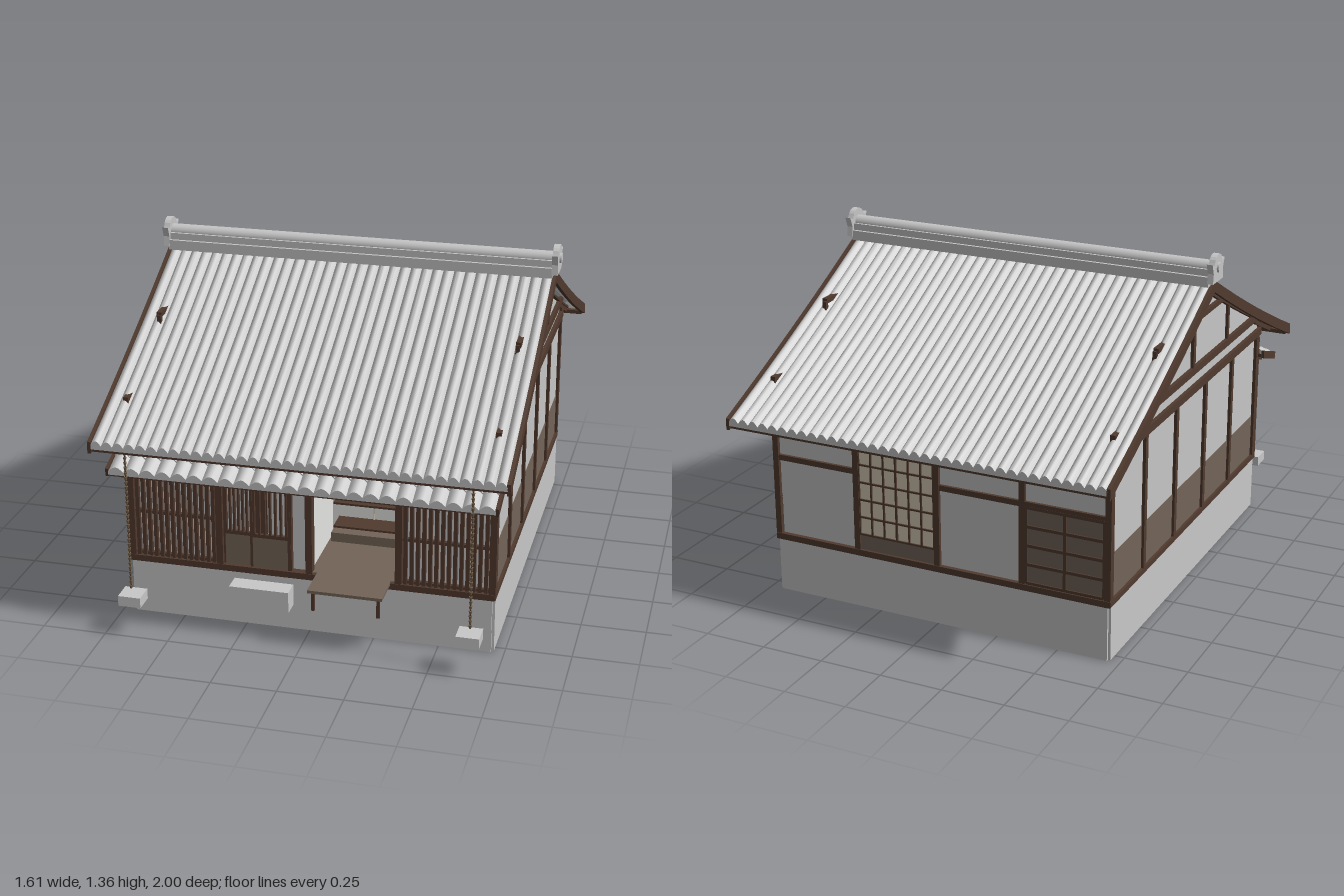
import * as THREE from 'three';
import { toCreasedNormals } from 'three/addons/utils/BufferGeometryUtils.js';

const material = (name, color, side = THREE.FrontSide) => {
  const m = new THREE.MeshStandardMaterial({ color, side });
  m.name = name;
  return m;
};

export function createModel() {
  const root = new THREE.Group();
  root.name = 'farmhouse';
  const tile = material('roof tile grey', 0xc6c6c6, THREE.DoubleSide);
  const stone = material('stone grey', 0xc8c8c8);
  const plaster = material('plaster grey', 0xc6c6c6);
  const white = material('inner wall white', 0xe4e4e2);
  const beam = material('dark timber', 0x503a2e);
  const board = material('weathered board', 0x736458);
  const paper = material('paper cream', 0xd6ccb4);
  const bronze = material('bronze', 0x75624a);

  const add = (name, geometry, mat, parent = root) => {
    const m = new THREE.Mesh(geometry, mat);
    m.name = name;
    parent.add(m);
    return m;
  };
  // Box given by its limits on each axis
  const box = (name, mat, x0, x1, y0, y1, z0, z1, parent = root) => {
    const m = add(name, new THREE.BoxGeometry(x1 - x0, y1 - y0, z1 - z0), mat, parent);
    m.position.set((x0 + x1) / 2, (y0 + y1) / 2, (z0 + z1) / 2);
    return m;
  };
  // Outline of [z, y] points extruded from x0 to x1
  const slab = (name, mat, points, x0, x1, parent = root) => {
    const shape = new THREE.Shape(points.map(([z, y]) => new THREE.Vector2(z, y)));
    const g = new THREE.ExtrudeGeometry(shape, { depth: x1 - x0, bevelEnabled: false });
    g.rotateY(-Math.PI / 2).translate(x1, 0, 0);
    return add(name, g, mat, parent);
  };

  // Slightly sagging roof line and a strip of given thickness hung below it
  const roofY = z => 1.25 - 0.52 * Math.abs(z) + 0.048 * z * z;
  const strip = (z0, z1, top, thick, n = 8) => {
    const upper = [], lower = [];
    for (let i = 0; i <= n; i++) {
      const z = z0 + (z1 - z0) * i / n;
      upper.push([z, roofY(z) - top]);
      lower.unshift([z, roofY(z) - top - thick]);
    }
    return upper.concat(lower);
  };

  // Corrugated tiles across x, following a list of [y, z] points downhill
  const tiles = (name, halfWidth, columns, path, height, parent) => {
    const seg = 6, n = columns * seg, pos = [], index = [];
    path.forEach(([y, z, flat]) => {
      for (let i = 0; i <= n; i++) {
        const bump = flat ? 0 : height * Math.sin(Math.PI * (i % seg) / seg);
        pos.push(-halfWidth + 2 * halfWidth * i / n, y + bump, z);
      }
    });
    for (let j = 0; j < path.length - 1; j++) for (let i = 0; i < n; i++) {
      const a = j * (n + 1) + i, c = a + n + 1;
      index.push(a, c, a + 1, a + 1, c, c + 1);
    }
    const g = new THREE.BufferGeometry();
    g.setAttribute('position', new THREE.Float32BufferAttribute(pos, 3));
    g.setIndex(index);
    return add(name, toCreasedNormals(g, 0.7), tile, parent);
  };

  // Foundation skirt, open below, and floor
  for (const s of [-1, 1]) box('foundationSide', stone, s * 0.7 - 0.01, s * 0.7 + 0.01, 0, 0.22, -0.79, 0.78);
  box('foundationFront', stone, -0.7, 0.7, 0, 0.22, 0.77, 0.79);
  box('foundationBack', stone, -0.7, 0.7, 0, 0.22, -0.8, -0.78);
  box('floor', stone, -0.69, 0.69, 0.215, 0.235, -0.78, 0.77);

  // Side walls and gables
  for (const s of [-1, 1]) {
    const at = (name, mat, x, w, y0, y1, z0, z1) => box(name, mat, s * x - w, s * x + w, y0, y1, z0, z1);
    at('sideWall', plaster, 0.692, 0.008, 0.42, 0.79, -0.79, 0.78);
    at('sideWainscot', board, 0.694, 0.008, 0.235, 0.42, -0.79, 0.78);
    at('sideSill', beam, 0.7, 0.013, 0.22, 0.242, -0.805, 0.795);
    at('sidePlate', beam, 0.7, 0.015, 0.78, 0.812, -0.815, 0.81);
    for (const z of [0.778, 0.465, 0.155, -0.16, -0.475, -0.787]) at('sidePost', beam, 0.7, 0.012, 0.235, 0.79, z - 0.012, z + 0.012);
    const gable = [[-0.8, 0.8], [0.79, 0.8], [0.79, roofY(0.79) - 0.025], [0.4, roofY(0.4) - 0.02], [0, 1.22],
      [-0.4, roofY(0.4) - 0.02], [-0.8, roofY(0.8) - 0.025]];
    slab('gableWall', plaster, gable, s * 0.692 - 0.008, s * 0.692 + 0.008);
    at('gableLowerBeam', beam, 0.705, 0.01, 0.86, 0.89, -0.79, 0.785);
    at('gableUpperBeam', beam, 0.705, 0.01, 1.07, 1.09, -0.395, 0.39);
    at('kingPost', beam, 0.703, 0.01, 0.88, 1.23, -0.012, 0.012);
    for (const z of [-0.395, 0.39]) at('gableStrut', beam, 0.703, 0.008, 0.88, 1.08, z - 0.009, z + 0.009);
  }

  // Main roof: each slope is built facing the front and turned for the back
  [[0.985, 0], [0.998, Math.PI]].forEach(([end, turn], k) => {
    const slope = new THREE.Group();
    slope.name = k ? 'backRoof' : 'frontRoof';
    slope.rotation.y = turn;
    root.add(slope);
    const path = [];
    for (let i = 0; i <= 10; i++) path.push([roofY(end * i / 10) - 0.013, end * i / 10]);
    path.push([roofY(end) - 0.028, end, true]);
    tiles('roofTiles', 0.775, 36, path, 0.019, slope);
    slab('roofDeck', beam, strip(0, end - 0.015, 0.017, 0.01), -0.715, 0.715, slope);
    for (let i = 0; i < 30; i++) {
      const x = -0.7 + 1.4 * i / 29;
      slab('rafter', beam, strip(0.74, end - 0.02, 0.027, 0.02, 2), x - 0.009, x + 0.009, slope);
    }
    for (const s of [-1, 1]) slab('vergeBoard', beam, strip(0, end, 0, 0.045), s * 0.779 - 0.007, s * 0.779 + 0.007, slope);
    box('eaveFascia', beam, -0.775, 0.775, roofY(end) - 0.04, roofY(end) - 0.024, end - 0.03, end - 0.008, slope);
  });

  // Ridge with rounded cap and end ornaments
  box('ridgeBase', tile, -0.775, 0.775, 1.235, 1.275, -0.05, 0.05);
  box('ridgeCourse', tile, -0.775, 0.775, 1.275, 1.302, -0.038, 0.038);
  const cap = add('ridgeCap', new THREE.CylinderGeometry(0.028, 0.028, 1.55, 16), tile);
  cap.rotation.z = Math.PI / 2;
  cap.position.y = 1.302;
  for (const s of [-1, 1]) {
    const outline = [[-0.055, 1.25], [0.055, 1.25], [0.05, 1.29], [0.066, 1.33], [0.045, 1.322]];
    for (let i = 1; i < 10; i++) {
      const a = Math.PI * i / 10;
      outline.push([0.042 * Math.cos(a), 1.318 + 0.04 * Math.sin(a)]);
    }
    outline.push([-0.045, 1.322], [-0.066, 1.33], [-0.05, 1.29]);
    slab('ridgeEnd', tile, outline, s * 0.784 - 0.012, s * 0.784 + 0.012);
    const boss = add('ridgeEndBoss', new THREE.CylinderGeometry(0.02, 0.02, 0.01, 16), tile);
    boss.rotation.z = Math.PI / 2;
    boss.position.set(s * 0.799, 1.305, 0);
  }

  // Small lower roof over the front, two tile courses
  tiles('pentTiles', 0.728, 24, [[0.712, 0.785], [0.685, 0.865], [0.676, 0.865, true],
    [0.68, 0.866], [0.652, 0.94], [0.64, 0.94, true]], 0.02);
  slab('pentDeck', beam, [[0.785, 0.7], [0.935, 0.643], [0.935, 0.633], [0.785, 0.685]], -0.725, 0.725);
  for (const s of [-1, 1]) slab('pentVerge', beam, [[0.785, 0.715], [0.942, 0.664], [0.936, 0.632], [0.785, 0.682]], s * 0.733 - 0.006, s * 0.733 + 0.006);
  for (let i = 0; i < 9; i++) {
    const x = -0.68 + 0.17 * i;
    slab('pentRafter', beam, [[0.785, 0.688], [0.92, 0.64], [0.92, 0.625], [0.785, 0.668]], x - 0.008, x + 0.008);
  }

  // Front wall around the open alcove
  box('frontWallLeftBay', plaster, -0.69, 0.01, 0.235, 0.62, 0.755, 0.768);
  box('frontWallRightBay', plaster, 0.33, 0.69, 0.235, 0.62, 0.755, 0.768);
  box('frontWallTop', plaster, -0.69, 0.69, 0.6, 0.84, 0.755, 0.775);
  box('frontSill', beam, -0.71, 0.71, 0.22, 0.245, 0.755, 0.8);
  box('frontHeader', beam, -0.71, 0.71, 0.6, 0.635, 0.765, 0.8);
  box('frontPlate', beam, -0.71, 0.71, 0.765, 0.8, 0.765, 0.8);
  for (const x of [-0.7, -0.35, 0, 0.345, 0.7]) box('frontPost', beam, x - 0.013, x + 0.013, 0.24, 0.77, 0.76, 0.798);
  box('doorPost', beam, -0.078, -0.068, 0.24, 0.6, 0.765, 0.79);

  // Slatted windows
  const slats = (x0, x1, y0, y1, n, w, z = 0.785) => {
    for (let i = 0; i < n; i++) {
      const x = x0 + (x1 - x0) * (i + 0.5) / n;
      box('slat', beam, x - w / 2, x + w / 2, y0, y1, z - 0.008, z + 0.008);
    }
  };
  for (const [x0, x1] of [[-0.687, -0.363], [0.358, 0.687]]) {
    slats(x0, x1, 0.24, 0.6, 14, 0.014);
    for (const y of [0.25, 0.425, 0.59]) box('slatRail', beam, x0, x1, y - 0.006, y + 0.006, 0.768, 0.784);
  }

  // Sliding entrance doors
  for (const [x0, x1, z] of [[-0.335, -0.22, 0.777], [-0.225, -0.078, 0.785]]) {
    box('doorPanel', board, x0, x1, 0.245, 0.375, z - 0.006, z + 0.002);
    box('doorMidRail', beam, x0, x1, 0.37, 0.384, z - 0.008, z + 0.006);
    box('doorTopRail', beam, x0, x1, 0.585, 0.602, z - 0.008, z + 0.006);
    for (const x of [x0, x1]) box('doorStile', beam, x - 0.005, x + 0.005, 0.245, 0.6, z - 0.008, z + 0.006);
    slats(x0, x1, 0.38, 0.59, 7, 0.008, z);
  }
  box('doorOverlap', beam, -0.225, -0.165, 0.38, 0.59, 0.77, 0.779);

  // Alcove room with shelves
  box('alcoveBack', white, 0, 0.345, 0.235, 0.62, 0.44, 0.45);
  for (const x of [0.0, 0.34]) box('alcoveSide', white, x - 0.005, x + 0.005, 0.235, 0.62, 0.44, 0.765);
  box('alcoveCeiling', white, 0, 0.345, 0.61, 0.62, 0.44, 0.765);
  box('alcoveFloor', board, 0.005, 0.335, 0.235, 0.25, 0.45, 0.79);
  box('alcoveStep', board, 0.015, 0.325, 0.25, 0.288, 0.45, 0.52);
  for (const y of [0.325, 0.425]) box('shelf', beam, 0.03, 0.315, y - 0.004, y + 0.004, 0.45, 0.54);
  box('alcoveRod', paper, 0.169, 0.174, 0.25, 0.57, 0.45, 0.456);
  box('alcoveRail', beam, 0.01, 0.335, 0.568, 0.585, 0.765, 0.79);

  // Back wall, four bays
  box('backWall', plaster, -0.69, 0.69, 0.235, 0.84, -0.79, -0.775);
  box('backSill', beam, -0.71, 0.71, 0.22, 0.245, -0.808, -0.78);
  box('backPlate', beam, -0.71, 0.71, 0.775, 0.808, -0.81, -0.78);
  for (const x of [-0.7, -0.355, 0, 0.345, 0.7]) box('backPost', beam, x - 0.012, x + 0.012, 0.24, 0.83, -0.805, -0.78);
  for (const [x0, x1] of [[-0.7, 0], [0.345, 0.7]]) box('backRail', beam, x0, x1, 0.555, 0.577, -0.802, -0.78);
  // Thin bars dividing a framed panel on the back wall
  const grid = (name, x0, x1, y0, y1, cols, rows, w) => {
    for (let i = 0; i <= cols; i++) {
      const x = x0 + (x1 - x0) * i / cols;
      box(name, beam, x - w, x + w, y0, y1, -0.803, -0.79);
    }
    for (let j = 0; j <= rows; j++) {
      const y = y0 + (y1 - y0) * j / rows;
      box(name, beam, x0, x1, y - w, y + w, -0.803, -0.79);
    }
  };
  box('paperScreen', paper, 0.012, 0.333, 0.31, 0.67, -0.797, -0.789);
  box('screenBase', board, 0.012, 0.333, 0.245, 0.31, -0.797, -0.789);
  for (const x of [0.012, 0.173]) grid('screenBar', x, x + 0.16, 0.31, 0.67, 3, 5, 0.0035);
  box('screenHead', beam, 0.012, 0.333, 0.665, 0.685, -0.803, -0.789);
  box('backDoor', board, -0.688, -0.367, 0.245, 0.56, -0.797, -0.789);
  grid('backDoorBar', -0.685, -0.37, 0.25, 0.555, 2, 4, 0.006);

  // Veranda bench, step stone, rain chains and their stones
  box('benchTop', board, 0.03, 0.315, 0.238, 0.25, 0.79, 0.935);
  for (const x of [0.048, 0.297]) box('benchLeg', beam, x - 0.006, x + 0.006, 0.16, 0.24, 0.91, 0.922);
  box('stepStone', stone, -0.292, -0.06, 0.11, 0.195, 0.802, 0.874);
  const link = new THREE.CylinderGeometry(0.007, 0.004, 0.013, 8);
  for (const s of [-1, 1]) {
    box('drainStone', stone, s * 0.647 - 0.044, s * 0.647 + 0.044, 0.127, 0.168, 0.918, 1.0);
    for (let i = 0; i < 29; i++) add('rainChainLink', link, bronze).position.set(s * 0.65, 0.195 + i * 0.0195, 0.963);
    box('rainChainWire', beam, s * 0.65 - 0.002, s * 0.65 + 0.002, 0.19, 0.755, 0.961, 0.965);
  }
  return root;
}
